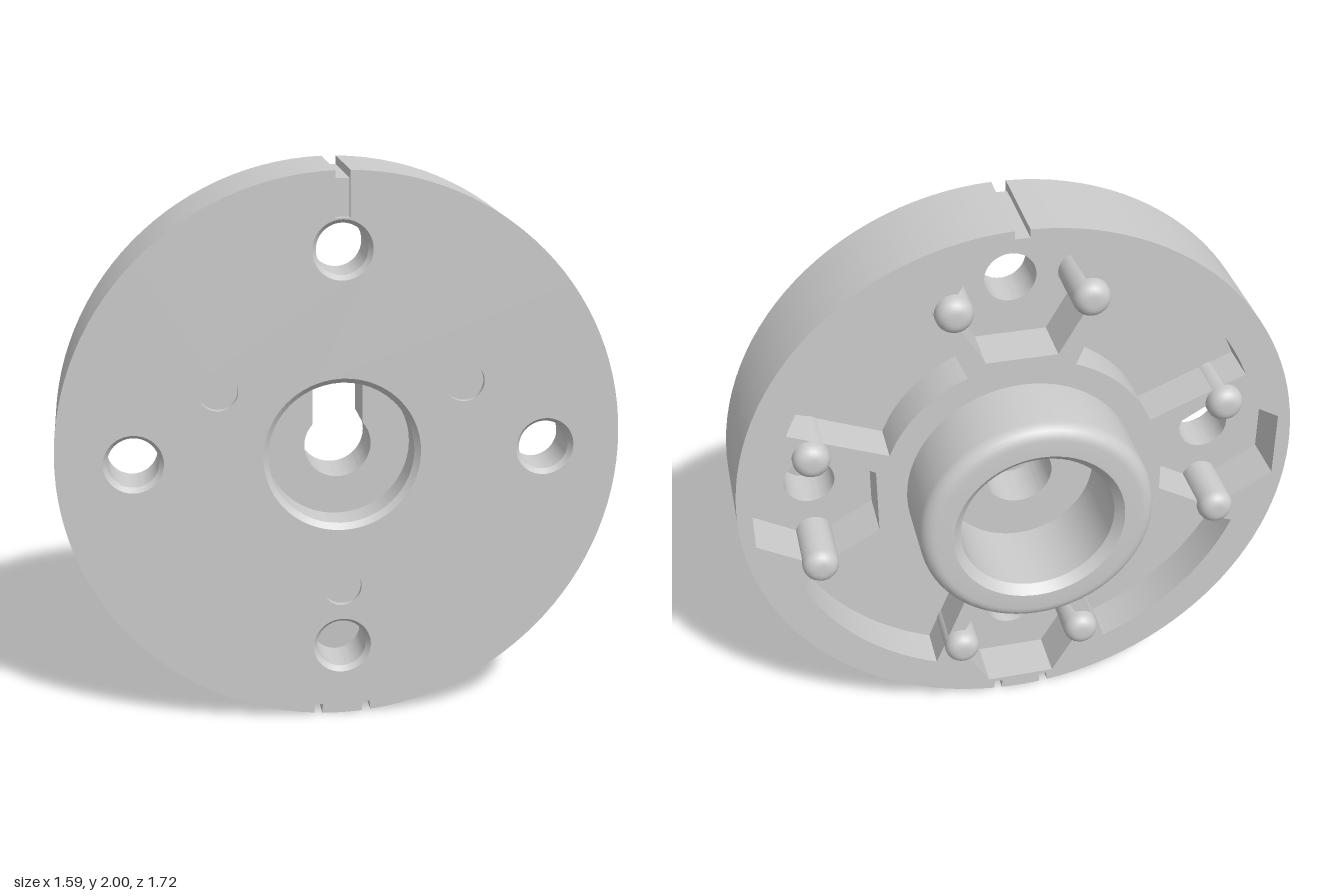
import * as THREE from 'three';
import { toCreasedNormals } from 'three/addons/utils/BufferGeometryUtils.js';

const FRONT = 0.173, BACK = -0.173, BOLT_R = 0.73;
const material = new THREE.MeshStandardMaterial({ color: 0xcccccc, side: THREE.DoubleSide });

function circle(x, y, r) {
  return new THREE.Path().absarc(x, y, r, 0, Math.PI * 2, true);
}

// The four bolt positions, at the ends of the spokes
const spokes = [0, 1, 2, 3].map((i) => i * Math.PI / 2);
const at = (r, a) => [r * Math.cos(a), r * Math.sin(a)];
const boltHoles = (r) => spokes.map((a) => circle(...at(BOLT_R, a), r));

// Round outline with one wide groove on top and two fine ones below
function discOutline(topDepth) {
  const shape = new THREE.Shape();
  const grooves = [
    { a: Math.PI / 2, w: 0.025, d: topDepth },
    { a: Math.PI * 1.5 - 0.09, w: 0.015, d: 0.035 },
    { a: Math.PI * 1.5 + 0.09, w: 0.015, d: 0.035 },
  ];
  grooves.forEach(({ a, w, d }, i) => {
    const next = grooves[(i + 1) % 3];
    const end = next.a - next.w + (i === 2 ? Math.PI * 2 : 0);
    const floor = (s) => [
      (1 - d) * Math.cos(a) - s * w * Math.sin(a),
      (1 - d) * Math.sin(a) + s * w * Math.cos(a),
    ];
    if (i === 0) shape.moveTo(...floor(-1)); else shape.lineTo(...floor(-1));
    shape.lineTo(...floor(1));
    shape.absarc(0, 0, 1, a + w, end, false);
  });
  shape.closePath();
  return shape;
}

// Shaft hole with a square-ended slot above it
function keyhole() {
  const r = 0.12, w = 0.09, a = Math.acos(w / r);
  const p = new THREE.Path();
  p.moveTo(w, 0.25);
  p.lineTo(w, r * Math.sin(a));
  p.absarc(0, 0, r, a, Math.PI - a, true);
  p.lineTo(-w, 0.25);
  p.closePath();
  return p;
}

// Nut pockets, each with a flat facing the centre
const hexPockets = () => spokes.map((s) => {
  const [cx, cy] = at(BOLT_R, s);
  const pts = [];
  for (let i = 0; i < 6; i++) {
    const [x, y] = at(0.25, s + Math.PI / 6 + i * Math.PI / 3);
    pts.push(new THREE.Vector2(cx + x, cy + y));
  }
  return new THREE.Path(pts.concat(pts[0].clone()));
});

// Weight-saving sectors between the spokes
const sectorPockets = () => spokes.map((s) => {
  const a0 = s + 0.385, a1 = s + Math.PI / 2 - 0.385;
  const p = new THREE.Path();
  p.moveTo(...at(0.5, a0));
  p.absarc(0, 0, 0.87, a0, a1, false);
  p.absarc(0, 0, 0.5, a1, a0, true);
  p.closePath();
  return p;
});

function mesh(name, geometry) {
  const m = new THREE.Mesh(toCreasedNormals(geometry, 0.5), material);
  m.name = name;
  return m;
}

function layer(name, z0, z1, holes, topDepth = 0.03) {
  const shape = discOutline(topDepth);
  shape.holes.push(...holes);
  const g = new THREE.ExtrudeGeometry(shape, { depth: z1 - z0, bevelEnabled: false, curveSegments: 28 });
  return mesh(name, g.translate(0, 0, z0));
}

// Turned part about the z axis; profile pairs are [radius, distance toward the back]
function turned(name, profile, x = 0, y = 0, segments = 48) {
  const g = new THREE.LatheGeometry(profile.map((p) => new THREE.Vector2(...p)), segments);
  g.rotateX(-Math.PI / 2).translate(x, y, 0);
  return mesh(name, g);
}

// Quarter-round from a side of radius r to an end face at height h
function round(r, h, f, fh = f, n = 6) {
  return Array.from({ length: n + 1 }, (_, i) => {
    const t = (i / n) * Math.PI / 2;
    return [r - f + f * Math.cos(t), h - fh + fh * Math.sin(t)];
  });
}

export function createModel() {
  const root = new THREE.Group();
  root.name = 'hubPlate';
  const body = new THREE.Group();
  body.name = 'plateAssembly';
  root.add(body);

  // Disc, stacked from the front face to the back face
  const marks = [30, 150, 270].map((d) => circle(...at(0.5, d * Math.PI / 180), 0.07));
  const skin = FRONT - 0.02;
  body.add(
    layer('frontFace', skin, FRONT, [circle(0, 0, 0.28), ...boltHoles(0.105), ...marks], 0.16),
    layer('counterboreLayer', 0.047, skin, [circle(0, 0, 0.26), ...boltHoles(0.09)]),
    layer('webLayer', 0, 0.047, [keyhole(), ...boltHoles(0.09)]),
    layer('nutPocketLayer', -0.023, 0, [keyhole(), ...hexPockets()]),
    layer('spokeLayer', -0.13, -0.023, [keyhole(), ...hexPockets(), ...sectorPockets()]),
    layer('backFace', BACK, -0.13, [circle(0, 0, 0.27), ...hexPockets(), ...sectorPockets()]),
  );

  // Chamfers on the front holes
  body.add(turned('counterboreChamfer', [[0.28, -FRONT], [0.26, -skin]]));
  for (const a of spokes) {
    body.add(turned('boltHoleChamfer', [[0.105, -FRONT], [0.09, -skin]], ...at(BOLT_R, a)));
  }

  // Hub with a rounded outer edge and a chamfered bore
  body.add(turned('hub', [
    [0.41, 0.16], ...round(0.41, 0.445, 0.05), [0.3, 0.445], [0.27, 0.415], [0.27, 0.13],
  ], 0, 0, 64));

  // Domed pins on the two side corners of each nut pocket
  for (const a of spokes) {
    for (const side of [-1, 1]) {
      const [x, y] = at(BOLT_R, a), [tx, ty] = at(0.23 * side, a + Math.PI / 2);
      body.add(turned('nutPin', [[0.065, 0], ...round(0.065, 0.23, 0.045), [0, 0.23]], x + tx, y + ty, 24));
    }
  }

  // The disc stands on its rim, turned toward its left
  body.rotation.y = 0.844;
  body.position.y = 1;
  return root;
}
